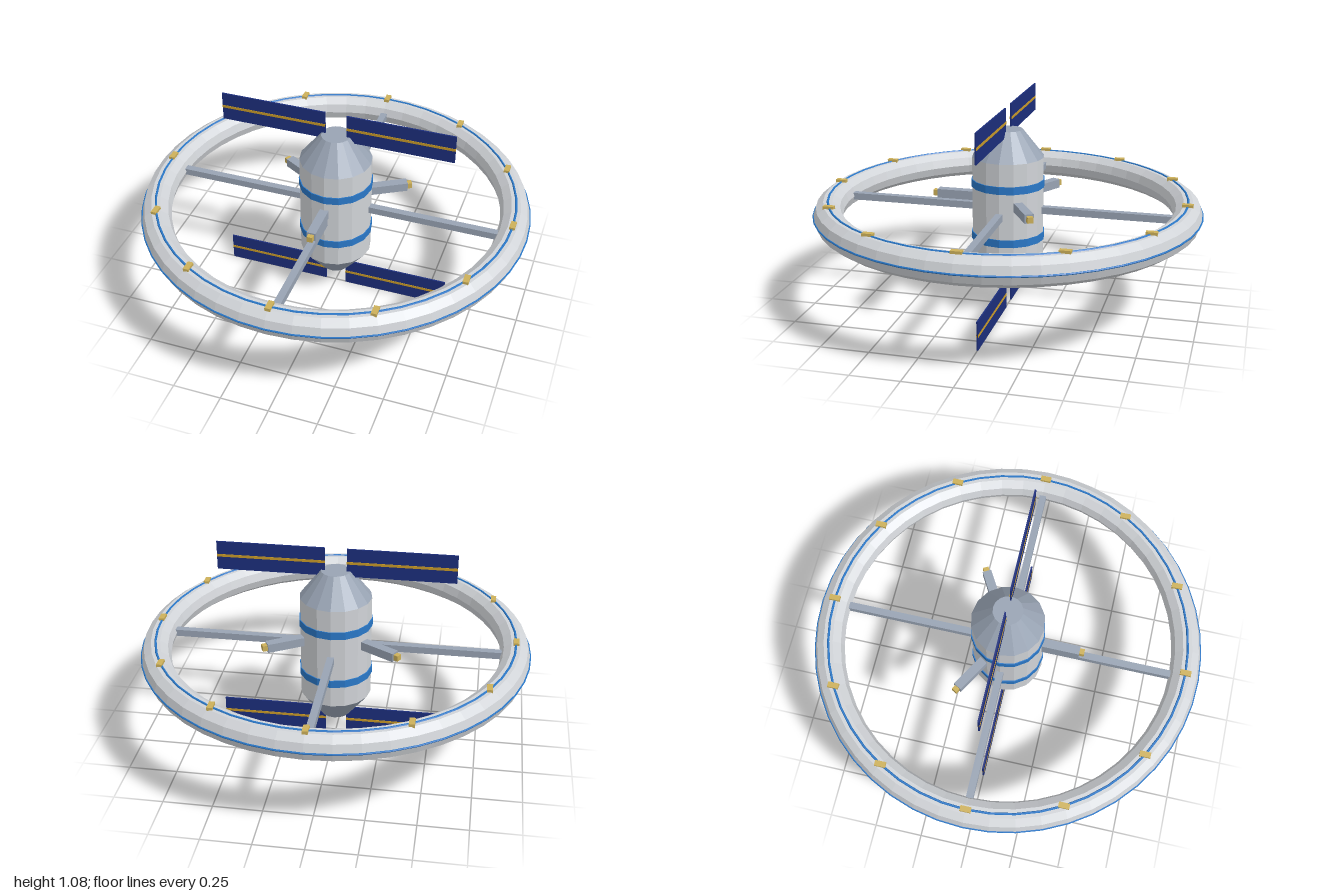
import * as THREE from 'three';

const flat = (color) => new THREE.MeshStandardMaterial({ color, flatShading: true });

export function createModel() {
  const station = new THREE.Group();
  station.name = 'spaceStation';
  const hull = flat(0xd0d3d7); hull.name = 'hullWhite';
  const steel = flat(0x98a3b3); steel.name = 'steelGrey';
  const blue = flat(0x2a78c8); blue.name = 'trimBlue';
  const navy = flat(0x1c2e7c); navy.name = 'panelNavy';
  const amber = flat(0xc89a28); amber.name = 'stripeAmber';
  const gold = flat(0xccb05a); gold.name = 'lampGold';

  const MID = 0.54, RING = 0.92, TUBE = 0.075;

  const add = (name, geometry, material, x = 0, y = 0, z = 0, parent = station) => {
    const mesh = new THREE.Mesh(geometry, material);
    mesh.name = name;
    mesh.position.set(x, y, z);
    parent.add(mesh);
    return mesh;
  };
  const box = (w, h, d) => new THREE.BoxGeometry(w, h, d);
  const hoop = (radius, tube, sides) =>
    new THREE.TorusGeometry(radius, tube, sides, 48).rotateX(Math.PI / 2);

  // Central core with tapered ends and trim bands
  add('coreBody', new THREE.CylinderGeometry(0.185, 0.185, 0.55, 16), hull, 0, MID, 0);
  add('upperCone', new THREE.CylinderGeometry(0.075, 0.185, 0.14, 16), steel, 0, 0.885, 0);
  add('lowerCone', new THREE.CylinderGeometry(0.185, 0.075, 0.14, 16), steel, 0, 0.195, 0);
  for (const y of [0.4, 0.68]) {
    add('coreBand', new THREE.CylinderGeometry(0.19, 0.19, 0.04, 16), blue, 0, y, 0);
  }

  // Habitat ring with trim lines
  add('habitatRing', hoop(RING, TUBE, 10), hull, 0, MID, 0);
  add('ringOuterLine', hoop(0.995, 0.005, 6), blue, 0, MID, 0);
  add('ringTopLine', hoop(RING, 0.006, 6), blue, 0, 0.611, 0);

  // Lamps around the top of the ring, all facing the same way
  for (let i = 0; i < 12; i++) {
    const a = (i / 12) * Math.PI * 2;
    add('ringLamp', box(0.028, 0.022, 0.055), gold, RING * Math.sin(a), 0.614, RING * Math.cos(a));
  }

  // Four spokes joining core and ring
  for (let i = 0; i < 4; i++) {
    const spoke = new THREE.Group();
    spoke.name = 'spoke';
    spoke.rotation.y = (i * Math.PI) / 2;
    add('spokeBeam', box(0.036, 0.036, 0.72), steel, 0, MID, 0.51, spoke);
    station.add(spoke);
  }

  // Three docking arms with gold tips
  for (let i = 0; i < 3; i++) {
    const arm = new THREE.Group();
    arm.name = 'dockingArm';
    arm.rotation.y = (i * Math.PI * 2) / 3;
    add('armBeam', box(0.046, 0.046, 0.225), steel, 0, 0.593, 0.2625, arm);
    add('armTip', box(0.03, 0.03, 0.025), gold, 0, 0.593, 0.3875, arm);
    station.add(arm);
  }

  // Solar panels, a pair above and a pair below
  for (const y of [0.075, 1.0]) {
    for (const side of [-1, 1]) {
      add('solarPanel', box(0.55, 0.15, 0.008), navy, side * 0.33, y, 0);
      add('panelStripe', box(0.55, 0.014, 0.012), amber, side * 0.33, y, 0);
    }
  }
  return station;
}
